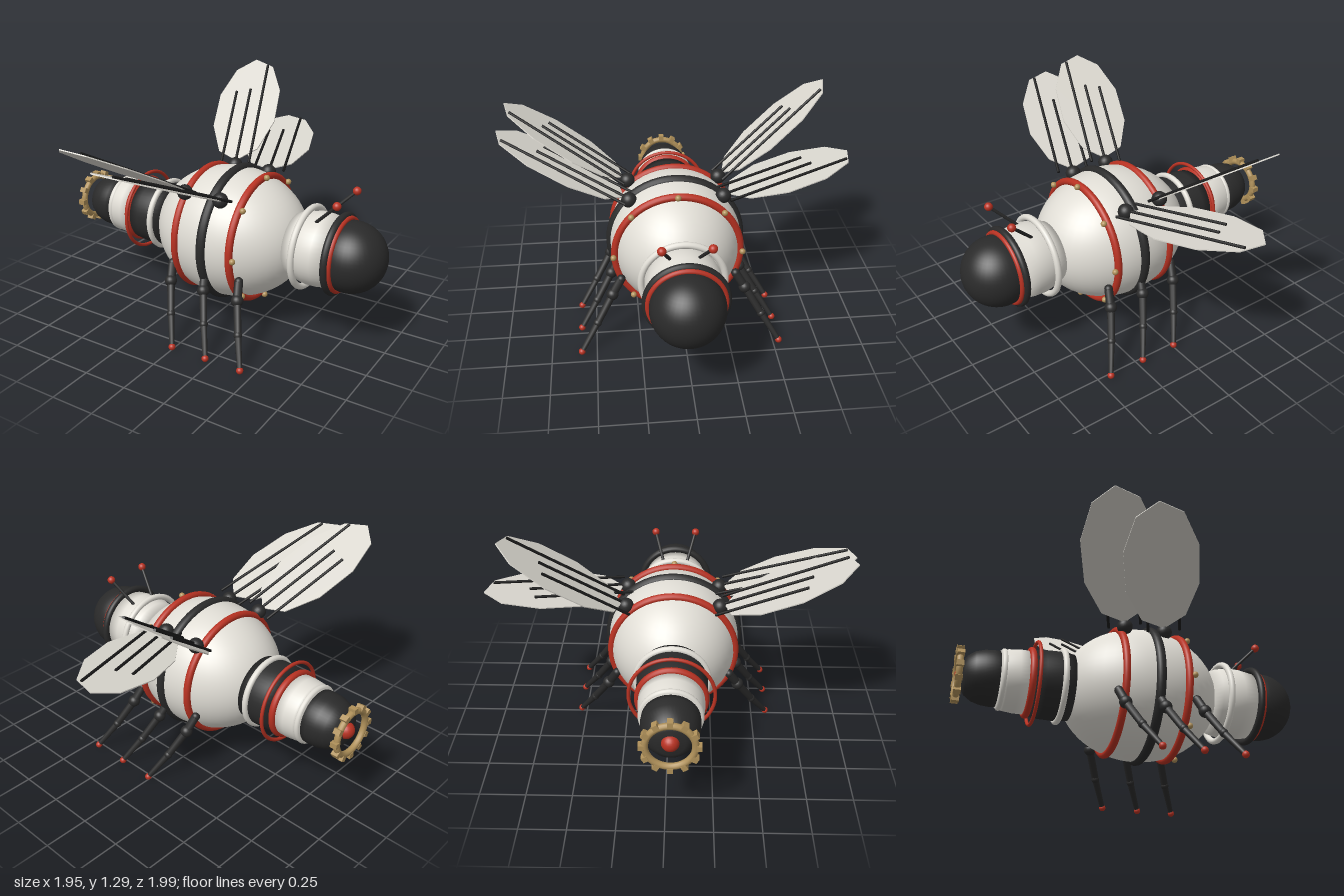
import * as THREE from 'three';

const mat = (name, color, side = THREE.FrontSide) => {
  const m = new THREE.MeshStandardMaterial({ color, side });
  m.name = name;
  return m;
};

export function createModel() {
  const shell = mat('ivory shell', 0xe0ddd5);
  const black = mat('black metal', 0x2a2a2a);
  const red = mat('red trim', 0xb93222);
  const brass = mat('brass', 0xb0915a);
  const wingMat = mat('wing membrane', 0xdad7cf, THREE.DoubleSide);
  const veinMat = mat('wing vein', 0x1a1a1a);

  const model = new THREE.Group();
  model.name = 'mechanicalInsect';
  const AXIS_Y = 0.522, HEAD_Y = 0.54, AXIS_Z = 0.027;
  const V = (x, y, z) => new THREE.Vector3(x, y, z);

  const add = (name, geometry, material, x = 0, y = 0, z = 0, parent = model) => {
    const mesh = new THREE.Mesh(geometry, material);
    mesh.name = name;
    mesh.position.set(x, y, z);
    parent.add(mesh);
    return mesh;
  };
  const ball = (name, r, material, p, parent) =>
    add(name, new THREE.SphereGeometry(r, 20, 14), material, p.x, p.y, p.z, parent);
  // tapered rod between two points
  const rod = (name, a, b, ra, rb, material, parent) => {
    const d = b.clone().sub(a);
    const mid = a.clone().add(b).multiplyScalar(0.5);
    const mesh = add(name, new THREE.CylinderGeometry(rb, ra, d.length(), 10), material, mid.x, mid.y, mid.z, parent);
    mesh.quaternion.setFromUnitVectors(V(0, 1, 0), d.normalize());
  };
  // ring around the long axis, given by its outer radius
  const ring = (name, x, outer, tube, material, y = AXIS_Y) =>
    add(name, new THREE.TorusGeometry(outer - tube, tube, 12, 56).rotateY(Math.PI / 2), material, x, y, AXIS_Z);
  // turned part along x from [x, radius] pairs
  const turned = (name, profile, material, y = AXIS_Y) => {
    const pts = profile.map(([x, r]) => new THREE.Vector2(r, x));
    add(name, new THREE.LatheGeometry(pts, 48).rotateZ(-Math.PI / 2), material, 0, y, AXIS_Z);
  };

  // thorax and its bands
  add('thorax', new THREE.SphereGeometry(1, 48, 32).scale(0.45, 0.372, 0.372), shell, 0.05, AXIS_Y, AXIS_Z);
  ring('thoraxBlackBand', 0.07, 0.393, 0.029, black);
  ring('thoraxFrontRedBand', 0.235, 0.37, 0.021, red);
  ring('thoraxRearRedBand', -0.113, 0.37, 0.021, red);
  for (let i = 0; i < 8; i++) {
    const a = i * Math.PI / 4;
    ball('rivet', 0.017, brass, V(0.263, AXIS_Y + 0.358 * Math.cos(a), AXIS_Z + 0.358 * Math.sin(a)));
  }

  // neck and head
  turned('neck', [[0.44, 0], [0.45, 0.17], [0.5, 0.19], [0.57, 0.205], [0.63, 0.204], [0.72, 0.19], [0.74, 0]], shell, HEAD_Y);
  ring('neckRing', 0.535, 0.24, 0.018, shell, HEAD_Y - 0.003);
  add('head', new THREE.SphereGeometry(0.196, 40, 28), black, 0.783, HEAD_Y, AXIS_Z);
  ring('headBlackRing', 0.72, 0.23, 0.02, black, HEAD_Y);
  ring('headRedRing', 0.742, 0.213, 0.014, red, HEAD_Y);

  // abdomen, tail ring by ring
  turned('abdomenFront', [[-0.56, 0], [-0.56, 0.182], [-0.5, 0.19], [-0.42, 0.192], [-0.34, 0.185], [-0.33, 0]], black);
  ring('abdomenFrontRing', -0.4, 0.213, 0.017, shell);
  ring('abdomenThinRedRing', -0.544, 0.238, 0.01, red);
  ring('abdomenRedRing', -0.573, 0.197, 0.019, red);
  turned('abdomenMiddle', [[-0.74, 0], [-0.74, 0.155], [-0.7, 0.168], [-0.64, 0.175], [-0.56, 0.175], [-0.55, 0]], shell);
  ring('abdomenRearRing', -0.72, 0.17, 0.016, shell);
  turned('abdomenTail', [[-0.935, 0], [-0.93, 0.075], [-0.91, 0.107], [-0.87, 0.135], [-0.82, 0.15], [-0.77, 0.154], [-0.72, 0.15], [-0.71, 0]], black);

  // tail gear with teeth and a red core
  ring('tailGear', -0.953, 0.142, 0.018, brass);
  for (let i = 0; i < 12; i++) {
    const a = i * Math.PI / 6;
    const tooth = add('gearTooth', new THREE.BoxGeometry(0.04, 0.03, 0.03), brass,
      -0.953, AXIS_Y + 0.141 * Math.cos(a), AXIS_Z + 0.141 * Math.sin(a));
    tooth.rotation.x = a;
  }
  ball('tailCore', 0.047, red, V(-0.922, AXIS_Y, AXIS_Z));

  for (const s of [1, -1]) {
    // antennae
    const tip = V(0.74, 0.862, AXIS_Z + s * 0.125);
    rod('antenna', V(0.6, 0.72, AXIS_Z + s * 0.073), tip, 0.009, 0.009, black);
    ball('antennaTip', 0.023, red, tip);

    // three jointed legs per side
    for (let i = 0; i < 3; i++) {
      const leg = new THREE.Group();
      leg.name = s > 0 ? 'leftLeg' : 'rightLeg';
      leg.position.set(i * 0.216, 0, AXIS_Z);
      model.add(leg);
      const hip = V(-0.15, 0.395, s * 0.32), knee = V(-0.128, 0.31, s * 0.372);
      const ankle = V(-0.068, 0.163, s * 0.462), foot = V(0.002, 0.022, s * 0.557);
      ball('hip', 0.024, black, hip, leg);
      rod('thigh', hip, knee, 0.024, 0.024, black, leg);
      ball('knee', 0.034, black, knee, leg);
      rod('shin', knee, ankle, 0.022, 0.02, black, leg);
      ball('ankle', 0.023, black, ankle, leg);
      rod('lowerLeg', ankle, foot, 0.019, 0.014, black, leg);
      ball('foot', 0.019, red, foot, leg);
    }
  }

  // wings: root and direction to the tip, flat ten-sided ovals with three veins
  const wings = [
    ['leftRearWing', V(-0.1, 0.808, 0.285), V(-0.25, 0.395, 0.677)],
    ['leftFrontWing', V(0.127, 0.808, 0.285), V(-0.26, 0.325, 0.71)],
    ['rightRearWing', V(-0.1, 0.808, -0.235), V(-0.222, 0.475, -0.624)],
    ['rightFrontWing', V(0.127, 0.808, -0.235), V(-0.28, 0.1, -0.765)],
  ];
  for (const [name, root, dir] of wings) {
    const wing = new THREE.Group();
    wing.name = name;
    const u = dir.clone().normalize();
    const v = V(1, 0, 0).addScaledVector(u, -u.x).normalize();
    const n = u.clone().cross(v);
    const up = Math.sign(n.y);
    wing.matrixAutoUpdate = true;
    wing.quaternion.setFromRotationMatrix(new THREE.Matrix4().makeBasis(u, v, n));
    wing.position.copy(root);
    model.add(wing);
    const outline = [];
    for (let i = 0; i < 10; i++) {
      const a = i * Math.PI / 5;
      outline.push(new THREE.Vector2(0.425 + 0.395 * Math.cos(a), 0.207 * Math.sin(a)));
    }
    const plate = new THREE.ExtrudeGeometry(new THREE.Shape(outline), { depth: 0.006, bevelEnabled: false });
    add('wingPlate', plate, wingMat, 0, 0, -0.003, wing);
    for (const [offset, length] of [[-0.088, 0.56], [0.003, 0.57], [0.088, 0.755]])
      rod('wingVein', V(0, offset, up * 0.008), V(length, offset, up * 0.008), 0.008, 0.008, veinMat, wing);
    ball('wingJoint', 0.043, black, V(0, 0, 0), wing);
  }
  return model;
}
